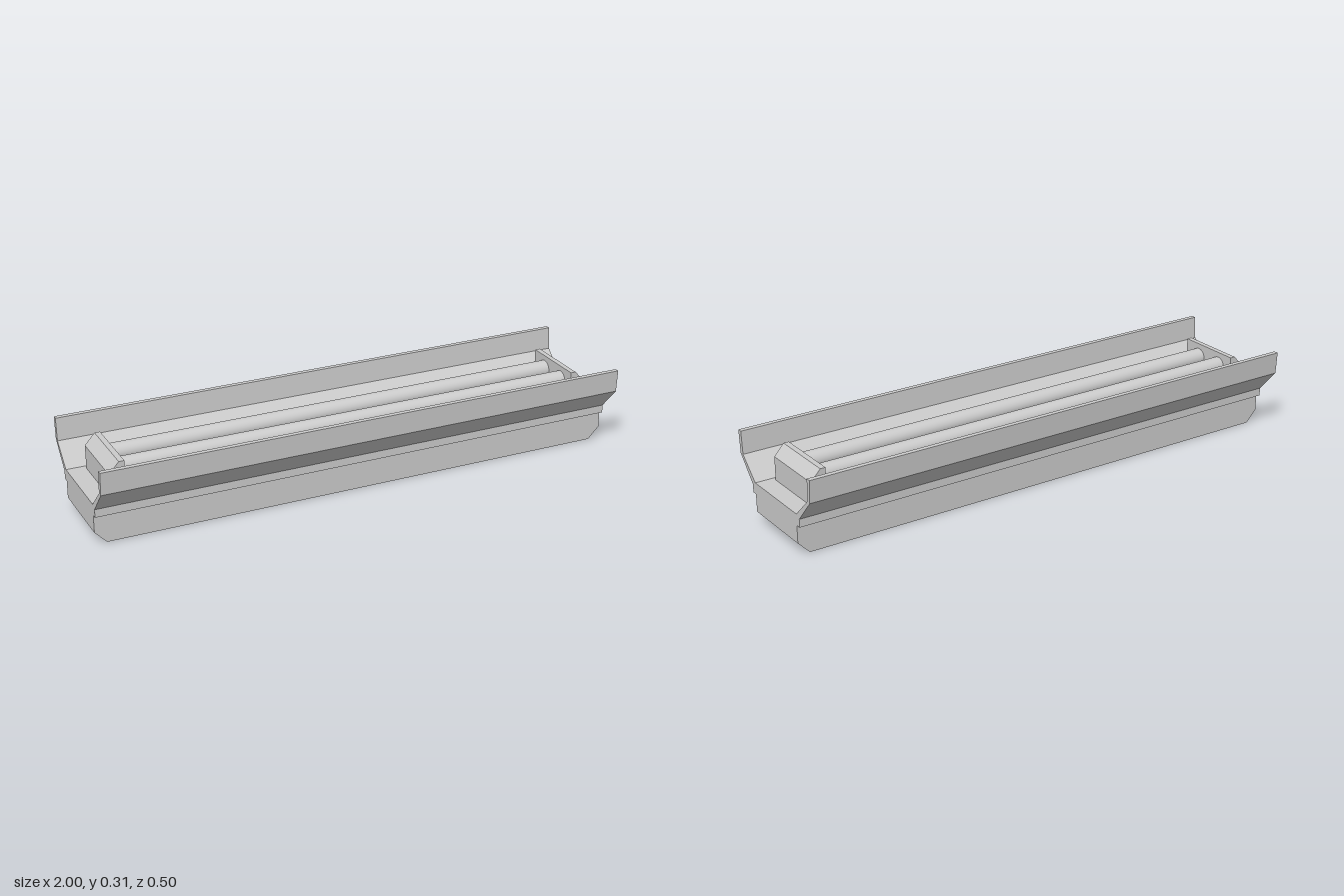
import * as THREE from 'three';

const material = new THREE.MeshStandardMaterial({ color: 0xcccccc });

// Extrude a closed outline, centred on its depth
function extrude(points, depth) {
  const shape = new THREE.Shape(points.map(([x, y]) => new THREE.Vector2(x, y)));
  const geometry = new THREE.ExtrudeGeometry(shape, { depth, bevelEnabled: false });
  return geometry.translate(0, 0, -depth / 2);
}

export function createModel() {
  const group = new THREE.Group();
  const add = (name, geometry) => {
    const mesh = new THREE.Mesh(geometry, material);
    mesh.name = name;
    group.add(mesh);
    return mesh;
  };

  // Long housing with chamfered lower ends
  add('housing', extrude([
    [-0.957, 0], [0.957, 0], [1, 0.044], [1, 0.152], [-1, 0.152], [-1, 0.044],
  ], 0.292));

  // Bent reflector section, running the full length
  const wing = extrude([
    [0.146, 0.11], [0.165, 0.11], [0.165, 0.14], [0.245, 0.228],
    [0.251, 0.312], [0.233, 0.312], [0.227, 0.228], [0.146, 0.152],
  ], 2).rotateY(Math.PI / 2);

  // Lamp holder with its outer top edge sloped
  const holder = extrude([
    [0.875, 0.15], [0.932, 0.15], [0.932, 0.239], [0.895, 0.28], [0.875, 0.28],
  ], 0.256);

  const tube = new THREE.CylinderGeometry(0.033, 0.033, 1.76, 32).rotateZ(Math.PI / 2);

  // Matching parts on both sides
  for (const [i, side] of ['left', 'right'].entries()) {
    add(['back', 'front'][i] + 'Reflector', wing).rotation.y = i * Math.PI;
    add(side + 'LampHolder', holder).rotation.y = i * Math.PI;
    add(['front', 'back'][i] + 'Tube', tube).position.set(0, 0.228, i ? -0.057 : 0.057);
  }
  return group;
}
